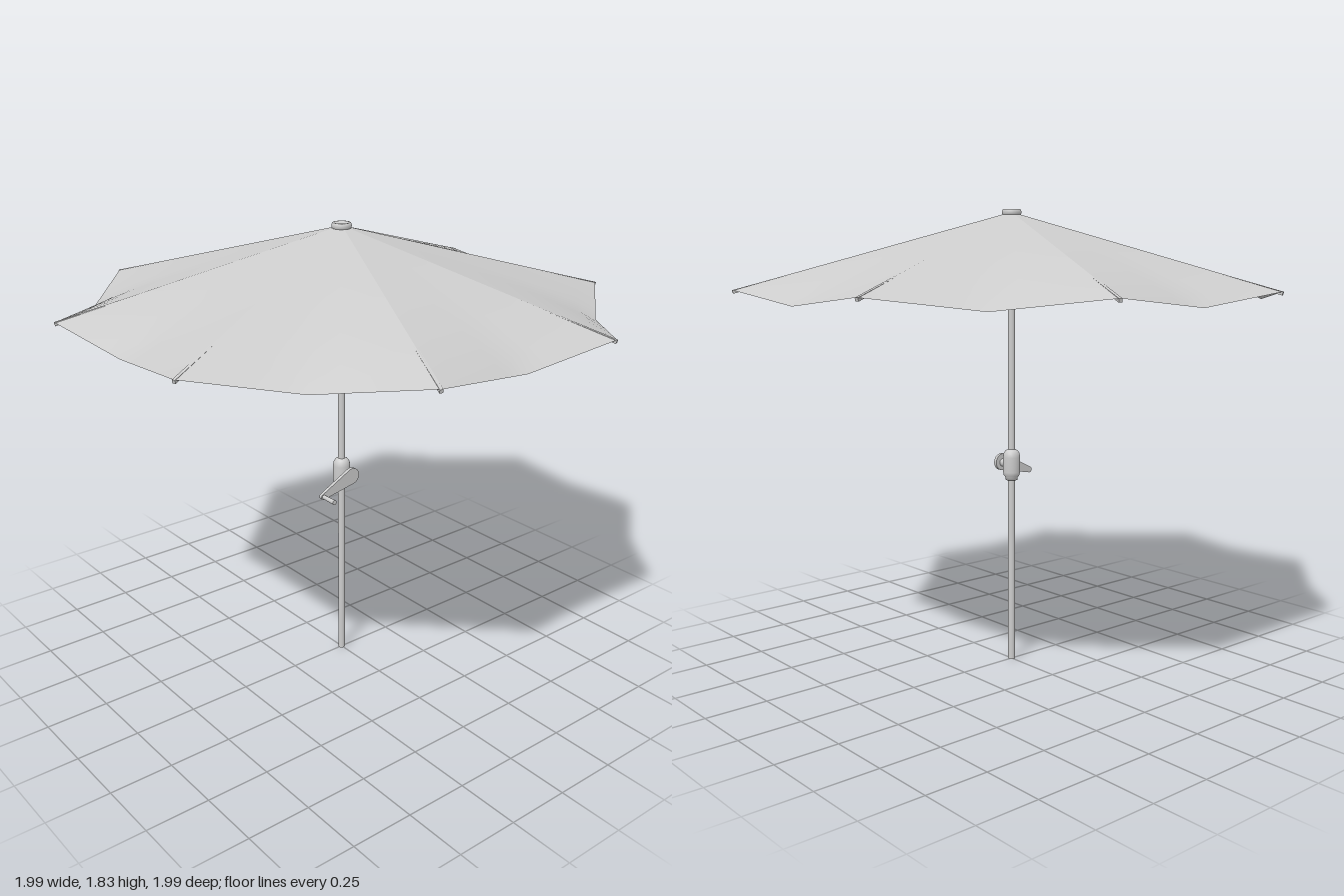
import * as THREE from 'three';

const APEX = 1.82, RIM_Y = 1.53, RIM_R = 1.073, RIBS = 8;

// Point on the ridge line at fraction t from apex to corner, for angle a measured from +z towards +x
function ridge(t, a, drop = 0) {
  const r = RIM_R * t;
  return new THREE.Vector3(r * Math.sin(a), APEX + (RIM_Y - APEX) * t - drop, r * Math.cos(a));
}

// One cloth panel between two ribs, sagging and pulled inward along the outer edge
function panelGeometry(centre, midRadius) {
  const rows = 12, cols = 8, pos = [], idx = [];
  const flat = RIM_R * Math.cos(Math.PI / 8);
  for (let i = 0; i <= rows; i++) {
    const t = 0.02 + 0.98 * i / rows;
    const p = ridge(t, centre - Math.PI / 8), q = ridge(t, centre + Math.PI / 8);
    for (let j = 0; j <= cols; j++) {
      const u = j / cols, sag = (1 - Math.abs(2 * u - 1)) * t ** 4;
      const v = p.clone().lerp(q, u);
      v.x -= Math.sin(centre) * (flat - midRadius) * sag;
      v.z -= Math.cos(centre) * (flat - midRadius) * sag;
      v.y -= 0.044 * sag;
      pos.push(v.x, v.y, v.z);
      if (i < rows && j < cols) {
        const a = i * (cols + 1) + j, b = a + cols + 1;
        idx.push(a, b, a + 1, b, b + 1, a + 1);
      }
    }
  }
  const g = new THREE.BufferGeometry();
  g.setAttribute('position', new THREE.Float32BufferAttribute(pos, 3));
  g.setIndex(idx);
  g.computeVertexNormals();
  return g;
}

export function createModel() {
  const model = new THREE.Group();
  model.name = 'parasol';
  const grey = new THREE.MeshStandardMaterial({ color: 0xcccccc });
  grey.name = 'light grey';
  const cloth = new THREE.MeshStandardMaterial({ color: 0xcccccc, side: THREE.DoubleSide });
  cloth.name = 'grey cloth';

  const add = (name, geometry, x = 0, y = 0, z = 0, material = grey) => {
    const m = new THREE.Mesh(geometry, material);
    m.name = name;
    m.position.set(x, y, z);
    model.add(m);
    return m;
  };
  const lathe = (name, points) =>
    add(name, new THREE.LatheGeometry(points.map(([r, y]) => new THREE.Vector2(r, y)), 24));
  // Rectangular bar running between two points
  const bar = (name, a, b, w, h) => {
    const m = add(name, new THREE.BoxGeometry(w, h, a.distanceTo(b)));
    m.position.copy(a).lerp(b, 0.5);
    m.lookAt(b);
  };

  // Pole
  add('pole', new THREE.CylinderGeometry(0.014, 0.014, 1.81, 20), 0, 0.905, 0);

  // Canopy, starting at the front panel
  [0.955, 0.962, 0.965, 0.96, 0.985, 0.983, 0.98, 0.972].forEach((r, k) =>
    add('canopyPanel', panelGeometry(k * Math.PI / 4, r), 0, 0, 0, cloth));

  // Ribs under the seams and the struts that push them open
  for (let k = 0; k < RIBS; k++) {
    const a = Math.PI / 8 + k * Math.PI / 4;
    bar('rib', ridge(0.03, a, 0.012), ridge(1, a, 0.0065), 0.012, 0.013);
    const foot = new THREE.Vector3(0.028 * Math.sin(a), 1.53, 0.028 * Math.cos(a));
    bar('strut', foot, ridge(0.51, a, 0.014), 0.01, 0.012);
  }

  // Top cap with a raised rim
  lathe('topCap', [[0, 1.808], [0.034, 1.808], [0.038, 1.814], [0.038, 1.824],
    [0.034, 1.831], [0.028, 1.831], [0.026, 1.826], [0, 1.826]]);

  // Upper hub and sliding runner
  lathe('upperHub', [[0, 1.77], [0.022, 1.77], [0.022, 1.785], [0.036, 1.787], [0.036, 1.803], [0, 1.803]]);
  lathe('runner', [[0.013, 1.505], [0.022, 1.505], [0.022, 1.52], [0.036, 1.522],
    [0.036, 1.538], [0.022, 1.54], [0.022, 1.555], [0.013, 1.555]]);

  // Crank housing
  lathe('crankHousing', [[0.013, 0.757], [0.024, 0.757], [0.025, 0.768], [0.032, 0.776], [0.035, 0.79],
    [0.035, 0.85], [0.032, 0.866], [0.025, 0.876], [0.015, 0.882]]);
  const shaft = add('crankShaft', new THREE.CylinderGeometry(0.016, 0.016, 0.04, 16), 0.045, 0.82, 0);
  shaft.rotation.z = Math.PI / 2;

  // Tapered crank arm reaching forward and down
  const dx = 0.145, dy = -0.05, R = 0.034, r = 0.012;
  const dir = Math.atan2(dy, dx), spread = Math.acos((R - r) / Math.hypot(dx, dy));
  const outline = new THREE.Shape();
  outline.absarc(0, 0, R, dir + spread, dir - spread + 2 * Math.PI, false);
  outline.absarc(dx, dy, r, dir - spread, dir + spread, false);
  const arm = add('crankArm', new THREE.ExtrudeGeometry(outline,
    { depth: 0.014, bevelEnabled: false, curveSegments: 12 }), 0.069, 0.822, 0);
  arm.rotation.y = -Math.PI / 2;

  // Crank handle
  const handle = add('crankHandle', new THREE.CylinderGeometry(0.01, 0.008, 0.075, 16), 0.1, 0.772, dx);
  handle.rotation.z = -Math.PI / 2;

  return model;
}
